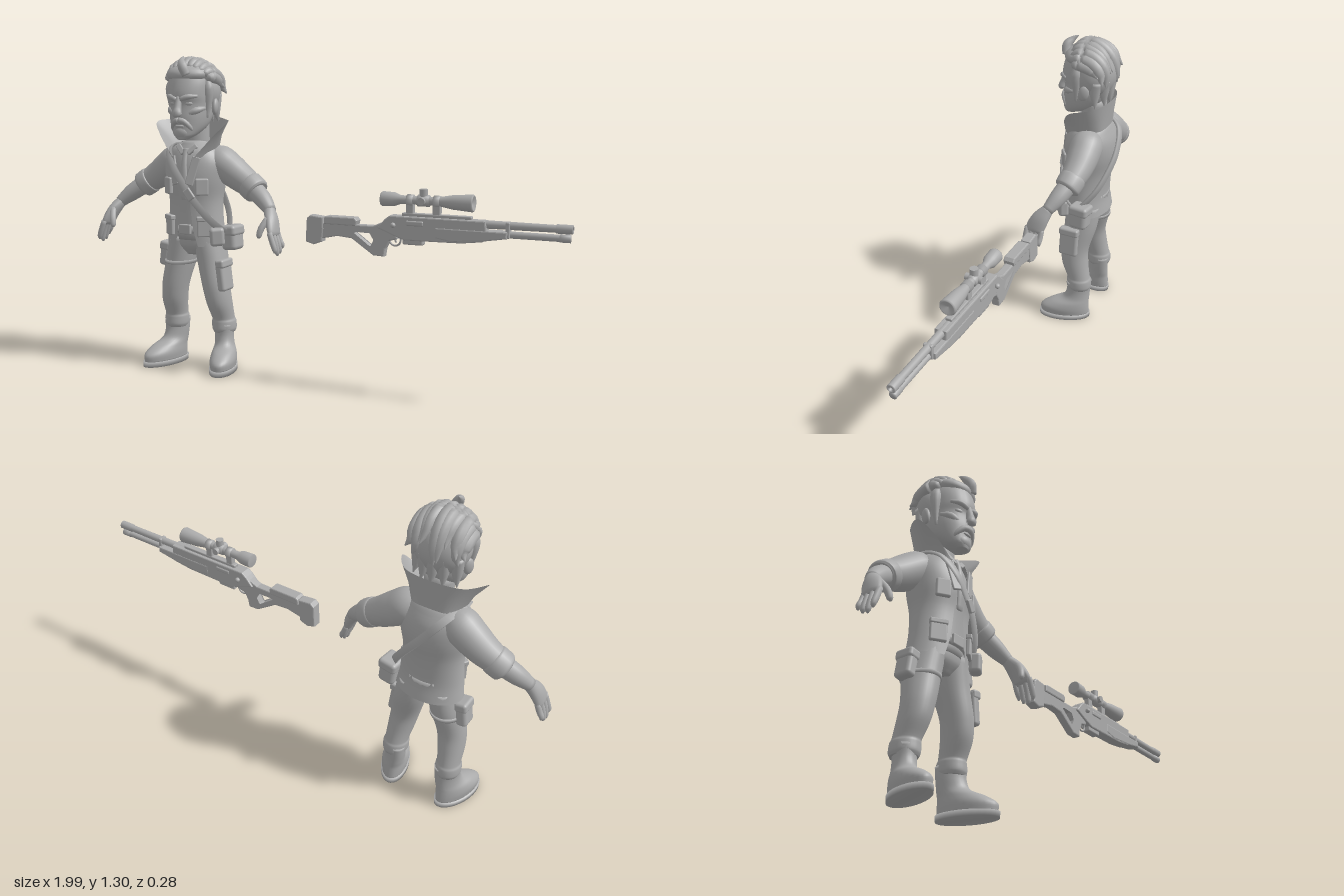
import * as THREE from 'three';
import { RoundedBoxGeometry } from 'three/addons/geometries/RoundedBoxGeometry.js';

const V = (x, y, z) => new THREE.Vector3(x, y, z);

export function createModel() {
  const clay = new THREE.MeshStandardMaterial({ color: 0xaaaaaa, side: THREE.DoubleSide });
  clay.name = 'clay grey';
  const model = new THREE.Group();
  const man = new THREE.Group(), rifle = new THREE.Group();
  man.name = 'man'; rifle.name = 'rifle';
  man.position.x = -0.56;
  model.add(man, rifle);

  const add = (parent, name, geo, pos = [0, 0, 0], rot = [0, 0, 0], scale = [1, 1, 1]) => {
    const m = new THREE.Mesh(geo, clay);
    m.name = name;
    m.position.set(...pos); m.rotation.set(...rot); m.scale.set(...scale);
    parent.add(m);
    return m;
  };

  // Skin a list of point rings; closed rings get end caps
  const skin = (rings, closed = true) => {
    const n = rings[0].length, pts = rings.flat(), idx = [];
    for (let j = 0; j < rings.length - 1; j++)
      for (let i = 0; i < (closed ? n : n - 1); i++) {
        const a = j * n + i, b = j * n + (i + 1) % n;
        idx.push(a, a + n, b, b, a + n, b + n);
      }
    if (closed) [0, rings.length - 1].forEach((j, end) => {
      const c = rings[j].reduce((s, p) => s.add(p), V(0, 0, 0)).divideScalar(n);
      pts.push(c);
      for (let i = 0; i < n; i++) {
        const a = j * n + i, b = j * n + (i + 1) % n;
        end ? idx.push(pts.length - 1, b, a) : idx.push(pts.length - 1, a, b);
      }
    });
    const g = new THREE.BufferGeometry().setFromPoints(pts);
    g.setIndex(idx);
    g.computeVertexNormals();
    return g;
  };

  // Swept ellipse through rows [x, y, z, r, rDepth]; flat keeps rings level, gap opens the front
  const sweep = (rows, { n = 20, steps = 5, flat = false, gap = null } = {}) => {
    const path = new THREE.CatmullRomCurve3(rows.map(r => V(r[0], r[1], r[2])));
    const radii = new THREE.CatmullRomCurve3(rows.map(r => V(r[3], r[4] ?? r[3], 0)), false, 'catmullrom', 0.5);
    const count = (rows.length - 1) * steps, rings = [];
    for (let j = 0; j <= count; j++) {
      const t = j / count, c = path.getPoint(t), r = radii.getPoint(t);
      const d = flat ? V(0, 1, 0) : path.getTangent(t);
      const v = V(0, 0, 1).addScaledVector(d, -d.z).normalize(), u = d.clone().cross(v);
      const g = gap ? gap(t) : 0, ring = [];
      for (let i = 0; i < n; i++) {
        const a = Math.PI / 2 + g + (2 * Math.PI - 2 * g) * i / (gap ? n - 1 : n);
        ring.push(c.clone().addScaledVector(u, r.x * Math.cos(a)).addScaledVector(v, r.y * Math.sin(a)));
      }
      rings.push(ring);
    }
    return skin(rings, !gap);
  };
  // Level sections [y, cx, cz, rx, rz]
  const stack = (rows, opt = {}) => sweep(rows.map(([y, x, z, rx, rz]) => [x, y, z, rx, rz]), { flat: true, n: 28, ...opt });
  const mirrored = (rows, s) => rows.map(([x, ...rest]) => [x * s, ...rest]);
  const ball = new THREE.SphereGeometry(1, 24, 16);
  const box = (w, h, d, r = 0.01) => new RoundedBoxGeometry(w, h, d, 3, r);

  // Torso, open jacket, pelvis and belt
  add(man, 'shirt', stack([[0.55, 0, -0.02, 0.11, 0.082], [0.7, 0, -0.02, 0.108, 0.085], [0.82, 0, -0.02, 0.12, 0.096],
    [0.9, 0, -0.02, 0.1, 0.08], [0.96, 0, -0.02, 0.05, 0.045]]));
  add(man, 'jacket', stack([[0.525, 0, -0.022, 0.135, 0.095], [0.6, 0, -0.015, 0.125, 0.09], [0.71, 0, -0.018, 0.118, 0.094],
    [0.8, 0, -0.02, 0.132, 0.109], [0.87, 0, -0.022, 0.135, 0.104], [0.925, 0, -0.02, 0.105, 0.085], [0.955, 0, -0.025, 0.06, 0.06]],
    { n: 44, gap: t => 0.42 - 0.22 * Math.sin(Math.PI * Math.min(1, t * 1.15)) }));
  add(man, 'hips', stack([[0.485, 0, -0.02, 0.045, 0.05], [0.53, 0, -0.02, 0.112, 0.078], [0.62, 0, -0.02, 0.112, 0.08]]));
  add(man, 'belt', stack([[0.58, 0, -0.018, 0.116, 0.088], [0.61, 0, -0.018, 0.116, 0.088]], { steps: 1 }));
  add(man, 'buckle', box(0.055, 0.042, 0.014, 0.005), [0, 0.597, 0.074]);

  // Flared, turned-up collar
  const side = (pts) => new THREE.CatmullRomCurve3([...pts.map(p => V(...p)), ...pts.slice(0, -1).reverse().map(([x, y, z]) => V(-x, y, z))]).getPoints(48);
  const rim = side([[0.055, 0.9, 0.078], [0.13, 0.985, 0.05], [0.168, 1.035, 0.01], [0.115, 1.045, -0.075], [0, 1.06, -0.115]]);
  const base = side([[0.025, 0.84, 0.088], [0.075, 0.895, 0.055], [0.098, 0.92, -0.025], [0.07, 0.93, -0.085], [0, 0.935, -0.1]]);
  const mid = base.map((p, i) => p.clone().lerp(rim[i], 0.5).multiply(V(0.93, 1, 1)));
  add(man, 'collar', skin([rim, mid, base], false));
  for (const s of [1, -1]) {
    add(man, 'shirtCollar', box(0.05, 0.022, 0.012, 0.004), [0.028 * s, 0.925, 0.052], [-0.5, 0, 0.8 * s]);
    add(man, 'lapel', box(0.035, 0.12, 0.01, 0.004), [0.045 * s, 0.84, 0.08], [-0.1, 0.3 * s, -0.25 * s]);
    add(man, 'jacketPocket', box(0.062, 0.075, 0.018, 0.006), [0.083 * s, 0.605, 0.056], [0, 0.6 * s, 0]);
    add(man, 'pocketFlap', box(0.066, 0.02, 0.024, 0.005), [0.083 * s, 0.642, 0.057], [0, 0.6 * s, 0]);
    add(man, 'chestPocket', box(0.055, 0.07, 0.018, 0.007), [0.08 * s, 0.775, 0.068], [0, 0.6 * s, 0]);
  }
  add(man, 'tie', sweep([[0, 0.72, 0.076, 0.014, 0.006], [0, 0.8, 0.081, 0.018, 0.008], [0, 0.9, 0.065, 0.01, 0.008], [0, 0.925, 0.05, 0.016, 0.014]], { n: 12 }));

  // Shoulder strap: a flat ribbon around the chest
  const strapPath = new THREE.CatmullRomCurve3([[-0.1, 0.938, -0.02], [-0.085, 0.915, 0.05], [-0.04, 0.85, 0.088], [0, 0.795, 0.094], [0.06, 0.71, 0.088],
    [0.125, 0.62, 0.045], [0.148, 0.585, -0.02], [0.118, 0.65, -0.085], [0.06, 0.74, -0.125], [0, 0.82, -0.138], [-0.065, 0.905, -0.115]].map(p => V(...p)), true);
  const strapRings = [];
  for (let i = 0; i <= 70; i++) {
    const p = strapPath.getPoint(i / 70), t = strapPath.getTangent(i / 70);
    const o = p.clone().sub(V(0, 0.76, -0.02)).addScaledVector(t, -t.dot(p.clone().sub(V(0, 0.76, -0.02)))).normalize();
    const w = t.clone().cross(o);
    strapRings.push([[1, 1], [-1, 1], [-1, -1], [1, -1]].map(([a, b]) =>
      p.clone().addScaledVector(w, 0.014 * a).addScaledVector(o, 0.005 * b)));
  }
  add(man, 'shoulderStrap', skin(strapRings));
  add(man, 'strapBuckle', box(0.034, 0.05, 0.014, 0.005), [0.035, 0.745, 0.096], [0, 0.15, 0.62]);

  // Hip bags and leg pouches
  add(man, 'hipBag', box(0.07, 0.1, 0.08, 0.018), [0.155, 0.555, -0.045], [0, -0.1, 0.08]);
  add(man, 'hipBagFlap', box(0.078, 0.045, 0.088, 0.014), [0.153, 0.587, -0.045], [0, -0.1, 0.08]);
  add(man, 'frontPouch', box(0.06, 0.075, 0.045, 0.014), [0.135, 0.57, 0.045], [0, 0.6, 0.06]);
  add(man, 'thighPocket', box(0.035, 0.13, 0.085, 0.012), [0.145, 0.405, 0.008], [0, 0, 0.12]);
  add(man, 'thighPocketFlap', box(0.04, 0.035, 0.09, 0.01), [0.144, 0.455, 0.008], [0, 0, 0.12]);
  add(man, 'legPouch', box(0.045, 0.1, 0.07, 0.014), [-0.148, 0.472, -0.02], [0, 0, -0.15]);
  add(man, 'legPouchFlap', box(0.052, 0.04, 0.076, 0.012), [-0.144, 0.508, -0.02], [0, 0, -0.15]);
  add(man, 'legStrap', stack([[0.44, -0.08, -0.016, 0.066, 0.075], [0.455, -0.079, -0.016, 0.066, 0.076]], { steps: 1 }));

  for (const s of [1, -1]) {
    // Trouser legs and boots
    add(man, 'leg', stack([[0.155, 0.118, -0.035, 0.044, 0.05], [0.17, 0.118, -0.034, 0.05, 0.056], [0.2, 0.117, -0.033, 0.05, 0.055], [0.215, 0.116, -0.03, 0.046, 0.052],
      [0.28, 0.11, -0.01, 0.052, 0.06], [0.35, 0.1, -0.003, 0.057, 0.062], [0.46, 0.077, -0.017, 0.063, 0.073], [0.56, 0.058, -0.02, 0.062, 0.078]]
      .map(([y, x, ...r]) => [y, x * s, ...r])));
    const boot = stack([[0.02, 0.13, 0.021, 0.052, 0.106], [0.05, 0.13, 0.021, 0.056, 0.105], [0.078, 0.128, 0.003, 0.052, 0.085],
      [0.105, 0.122, -0.024, 0.044, 0.058], [0.14, 0.118, -0.033, 0.043, 0.05], [0.19, 0.118, -0.035, 0.046, 0.052]].map(([y, x, ...r]) => [y, x * s, ...r]));
    const sole = stack([[0, 0.13, 0.022, 0.057, 0.111], [0.022, 0.13, 0.022, 0.058, 0.112]].map(([y, x, ...r]) => [y, x * s, ...r]), { steps: 1 });
    for (const g of [boot, sole]) {       // turn the toes out
      const p = g.attributes.position;
      for (let i = 0; i < p.count; i++) p.setX(i, p.getX(i) + s * 0.24 * (p.getZ(i) + 0.03));
      g.computeVertexNormals();
    }
    add(man, 'boot', boot);
    add(man, 'sole', sole);

    // Sleeves, forearms and hands
    const limb = (name, rows, opt) => add(man, name, sweep(mirrored(rows, s), opt));
    limb('sleeve', [[0.06, 0.895, -0.035, 0.05], [0.1, 0.875, -0.042, 0.068], [0.145, 0.845, -0.046, 0.067], [0.2, 0.808, -0.046, 0.06], [0.26, 0.773, -0.04, 0.05]]);
    limb('sleeveCuff', [[0.235, 0.787, -0.042, 0.05], [0.243, 0.782, -0.041, 0.057], [0.278, 0.758, -0.034, 0.055], [0.285, 0.753, -0.032, 0.046]]);
    limb('forearm', [[0.26, 0.77, -0.036, 0.04], [0.32, 0.727, -0.012, 0.036], [0.368, 0.685, 0.014, 0.024]]);
    limb('palm', [[0.36, 0.692, 0.01, 0.023], [0.385, 0.65, 0.036, 0.023, 0.037], [0.402, 0.605, 0.054, 0.017, 0.04], [0.406, 0.592, 0.056, 0.01, 0.03]]);
    limb('thumb', [[0.376, 0.66, 0.055, 0.014], [0.36, 0.625, 0.08, 0.013], [0.353, 0.595, 0.088, 0.011], [0.352, 0.585, 0.089, 0.004]], { n: 10, steps: 3 });
    for (let f = 0; f < 4; f++) {
      const z = 0.088 - f * 0.022, drop = [0.005, -0.008, -0.002, 0.016][f];
      limb('finger', [[0.4, 0.61, z, 0.011], [0.414, 0.572, z + 0.002, 0.0115], [0.424, 0.538 + drop, z + 0.002, 0.01], [0.424, 0.525 + drop, z + 0.001, 0.004]], { n: 10, steps: 3 });
    }
  }

  // Head and face
  add(man, 'neck', stack([[0.9, 0, -0.03, 0.055, 0.05], [1.06, 0, -0.025, 0.055, 0.055]]));
  add(man, 'head', stack([[0.967, 0, 0.078, 0.02, 0.02], [0.985, 0, 0.058, 0.048, 0.045], [1.02, 0, 0.026, 0.073, 0.076], [1.06, 0, 0.01, 0.085, 0.094],
    [1.11, 0, 0.003, 0.09, 0.098], [1.145, 0, 0.006, 0.091, 0.106], [1.2, 0, 0, 0.092, 0.102], [1.25, 0, -0.005, 0.075, 0.085], [1.27, 0, -0.005, 0.03, 0.04]]));
  add(man, 'nose', sweep([[0, 1.062, 0.112, 0.012, 0.01], [0, 1.071, 0.117, 0.02, 0.018], [0, 1.095, 0.111, 0.014, 0.016], [0, 1.14, 0.1, 0.011, 0.012]], { n: 12 }));
  add(man, 'goatee', ball, [0, 0.995, 0.08], [0.2, 0, 0], [0.036, 0.03, 0.026]);
  add(man, 'lip', ball, [0, 1.022, 0.1], [0, 0, 0], [0.02, 0.006, 0.008]);
  for (const s of [1, -1]) {
    const face = (name, rows) => add(man, name, sweep(mirrored(rows, s), { n: 12, steps: 3 }));
    face('moustache', [[-0.002, 1.046, 0.106, 0.012], [0.022, 1.04, 0.1, 0.012], [0.042, 1.015, 0.083, 0.009], [0.046, 1.0, 0.075, 0.003]]);
    face('eyebrow', [[0.01, 1.13, 0.108, 0.009], [0.04, 1.14, 0.1, 0.011], [0.07, 1.143, 0.073, 0.006]]);
    face('cheek', [[0.03, 1.07, 0.083, 0.012], [0.058, 1.085, 0.068, 0.016], [0.08, 1.095, 0.035, 0.008]]);
    add(man, 'eye', ball, [0.037, 1.113, 0.087].map((c, i) => i ? c : c * s), [0, 0.4 * s, 0], [0.017, 0.009, 0.008]);
    add(man, 'ear', ball, [0.097 * s, 1.1, -0.018], [-0.2, 0.35 * s, 0], [0.013, 0.034, 0.022]);
    face('sideburn', [[0.082, 1.055, 0.022, 0.006], [0.086, 1.1, 0.02, 0.013], [0.09, 1.17, 0.02, 0.022], [0.085, 1.21, 0.02, 0.012]]);
  }

  // Swept-back hair: a cap, a quiff and tapered locks running front to back
  add(man, 'hairCap', ball, [0, 1.163, -0.03], [0, 0, 0], [0.106, 0.11, 0.09]);
  add(man, 'hairTop', ball, [0, 1.232, 0.022], [0.1, 0, 0], [0.094, 0.042, 0.08]);
  for (let k = 0; k < 11; k++) {
    const phi = (k - 5) * 0.235, sway = 0.12 * Math.sin(k * 2.3);
    const end = 3.15 + 0.45 * Math.sin(k * 1.7), rows = [];
    for (let j = 0; j <= 6; j++) {
      const t = j / 6, a = 0.75 + (end - 0.75) * t, lift = j === 6 ? 1.17 : 1;
      rows.push([0.104 * Math.sin(phi + sway * t) * lift, 1.163 + 0.1 * Math.cos(phi) * Math.sin(a) + 0.025 * (1 - t),
        -0.012 + 0.098 * Math.cos(a) * (0.45 + 0.55 * Math.cos(phi)) * lift, [0.012, 0.022, 0.024, 0.024, 0.023, 0.018, 0.002][j]]);
    }
    add(man, 'hairLock', sweep(rows, { n: 9, steps: 3 }));
  }
  for (let k = -2; k <= 2; k++)
    add(man, 'napeLock', sweep([[k * 0.038, 1.15, -0.095 + 0.008 * k * k, 0.024], [k * 0.038, 1.09, -0.09 + 0.008 * k * k, 0.02], [k * 0.042, 1.035, -0.098 + 0.008 * k * k, 0.002]], { n: 9 }));
  add(man, 'quiff', sweep([[0.03, 1.225, 0.09, 0.018], [0.015, 1.262, 0.094, 0.02], [0, 1.285, 0.075, 0.012], [-0.004, 1.303, 0.052, 0.001]], { n: 10 }));

  // Rifle helpers: side-profile plates and turned parts along x
  const plate = (name, pts, depth, hole) => {
    const shape = new THREE.Shape(pts.map(p => new THREE.Vector2(...p)));
    if (hole) shape.holes.push(new THREE.Path(hole.map(p => new THREE.Vector2(...p))));
    const b = 0.005, g = new THREE.ExtrudeGeometry(shape, { depth: depth - 2 * b, bevelThickness: b, bevelSize: b, bevelOffset: -b, bevelSegments: 2 });
    return add(rifle, name, g, [0, 0, b - depth / 2]);
  };
  const turned = (name, y, profile) => add(rifle, name,
    new THREE.LatheGeometry(profile.map(([x, r]) => new THREE.Vector2(r, x)), 24), [0, y, 0], [0, 0, -Math.PI / 2]);
  const rod = (name, y, x0, x1, r) => turned(name, y, [[x0, 0], [x0, r], [x1, r], [x1, 0]]);

  // Stock, grip and receiver
  plate('buttPad', [[-0.035, 0.575], [-0.03, 0.668], [-0.015, 0.682], [0.04, 0.676], [0.042, 0.63], [0.035, 0.578], [0, 0.565]], 0.042);
  plate('stock', [[0.03, 0.655], [0.25, 0.655], [0.33, 0.69], [0.35, 0.61], [0.315, 0.6], [0.3, 0.57], [0.295, 0.538], [0.25, 0.54], [0.16, 0.6], [0.1, 0.605], [0.03, 0.59]], 0.034,
    [[0.165, 0.622], [0.18, 0.632], [0.24, 0.63], [0.258, 0.6], [0.245, 0.572], [0.235, 0.57]]);
  plate('cheekRest', [[0.045, 0.65], [0.045, 0.675], [0.055, 0.682], [0.175, 0.682], [0.185, 0.67], [0.18, 0.65]], 0.046);
  plate('receiver', [[0.27, 0.65], [0.3, 0.685], [0.32, 0.7], [0.69, 0.7], [0.695, 0.64], [0.68, 0.622], [0.6, 0.612], [0.38, 0.608], [0.33, 0.625]], 0.05);
  plate('handguard', [[0.5, 0.665], [0.5, 0.625], [0.56, 0.615], [0.68, 0.625], [0.77, 0.64], [0.77, 0.665]], 0.054);
  add(rifle, 'ejectionPort', box(0.07, 0.02, 0.058, 0.006), [0.42, 0.675, 0]);
  add(rifle, 'magazine', box(0.08, 0.03, 0.034, 0.006), [0.41, 0.606, 0]);
  add(rifle, 'triggerGuard', new THREE.TorusGeometry(0.023, 0.004, 8, 20), [0.335, 0.605, 0]);
  add(rifle, 'trigger', box(0.007, 0.028, 0.008, 0.003), [0.335, 0.607, 0], [0, 0, 0.3]);
  add(rifle, 'bolt', new THREE.CylinderGeometry(0.006, 0.006, 0.066, 10), [0.337, 0.665, 0], [Math.PI / 2, 0, 0]);
  for (const s of [1, -1]) add(rifle, 'boltKnob', ball, [0.337, 0.665, 0.033 * s], [0, 0, 0], [0.01, 0.01, 0.01]);

  // Barrel and lower tube
  turned('barrel', 0.686, [[0.6, 0.016], [0.94, 0.014], [0.942, 0.017], [0.998, 0.017], [1, 0.014], [1, 0.007], [0.97, 0.007]]);
  rod('lowerTube', 0.653, 0.6, 0.985, 0.013);
  rod('lowerTubeCap', 0.653, 0.955, 0.992, 0.015);
  add(rifle, 'barrelClamp', box(0.016, 0.06, 0.036, 0.005), [0.77, 0.67, 0]);

  // Scope with mount and turrets
  turned('scope', 0.76, [[0.28, 0], [0.28, 0.026], [0.285, 0.029], [0.33, 0.027], [0.355, 0.017], [0.5, 0.016], [0.56, 0.027], [0.635, 0.033], [0.64, 0.03], [0.64, 0.026], [0.63, 0]]);
  add(rifle, 'scopeRail', box(0.27, 0.014, 0.026, 0.004), [0.5, 0.705, 0]);
  for (const x of [0.395, 0.5]) {
    rod('scopeRing', 0.76, x - 0.012, x + 0.012, 0.022);
    add(rifle, 'scopeMount', box(0.03, 0.045, 0.024, 0.004), [x, 0.727, 0]);
  }
  rod('turretHousing', 0.76, 0.425, 0.47, 0.022);
  add(rifle, 'topTurret', new THREE.CylinderGeometry(0.016, 0.016, 0.042, 18), [0.447, 0.783, 0]);
  add(rifle, 'sideTurret', new THREE.CylinderGeometry(0.014, 0.014, 0.068, 18), [0.447, 0.76, 0], [Math.PI / 2, 0, 0]);
  return model;
}
